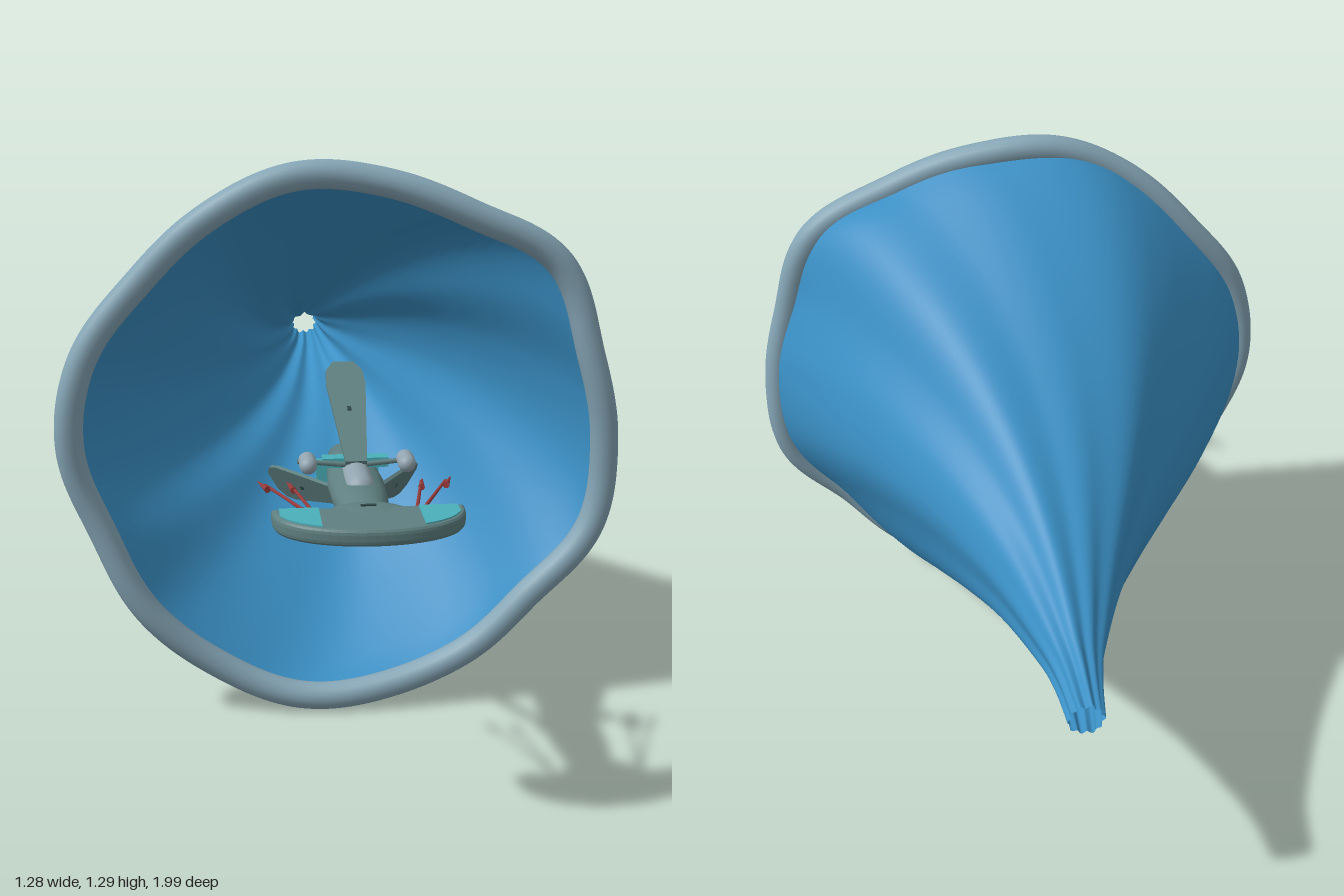
import * as THREE from 'three';
import { ParametricGeometry } from 'three/addons/geometries/ParametricGeometry.js';

const AXIS = 0.65; // height of the funnel axis
const mat = (name, color, side = THREE.FrontSide) => {
  const m = new THREE.MeshStandardMaterial({ color, side });
  m.name = name;
  return m;
};

// wavy outer radius of the rim, every 20 degrees counter-clockwise from +x
const WAVE = [.634, .628, .665, .625, .628, .644, .627, .615, .64, .638, .607, .62, .632, .65, .635, .625, .606, .648];
const rimRadius = (angle) => {
  const n = WAVE.length;
  let f = (angle / (Math.PI * 2)) * n;
  f -= Math.floor(f / n) * n;
  const i = Math.floor(f), t = f - i;
  const [a, b, c, d] = [-1, 0, 1, 2].map((k) => WAVE[(i + k + n) % n]);
  return b + 0.5 * t * (c - a + t * (2 * a - 5 * b + 4 * c - d + t * (3 * (b - c) + d - a)));
};

// funnel radius against z, mouth to tip
const PROFILE = new THREE.SplineCurve([
  [.3, .603], [.2, .562], [0, .457], [-.2, .343], [-.4, .235], [-.6, .14], [-.8, .07], [-.9, .046], [-1, .034],
].map(([z, r]) => new THREE.Vector2(z, r)));

export function createModel() {
  const model = new THREE.Group();
  const blue = mat('funnelBlue', 0x3a8fc4, THREE.DoubleSide);
  const rimGrey = mat('rimGreyBlue', 0x86a6b6);
  const hull = mat('hullGreyGreen', 0x5f7f80);
  const teal = mat('panelTeal', 0x4bb0bb);
  const pale = mat('podPaleGrey', 0x93a5b0);
  const red = mat('antennaRed', 0x9a3b3b);
  const dark = mat('detailDark', 0x2f4548);

  const add = (name, geo, material, parent = model, pos = [0, 0, 0]) => {
    const m = new THREE.Mesh(geo, material);
    m.name = name;
    m.position.set(...pos);
    parent.add(m);
    return m;
  };
  // thin rod between two points
  const rod = (name, a, b, r0, r1, material) => {
    const A = new THREE.Vector3(...a), B = new THREE.Vector3(...b);
    const m = add(name, new THREE.CylinderGeometry(r1, r0, A.distanceTo(B), 8), material);
    m.position.copy(A).add(B).multiplyScalar(0.5);
    m.quaternion.setFromUnitVectors(new THREE.Vector3(0, 1, 0), B.sub(A).normalize());
    return m;
  };
  const poly = (pts) => new THREE.Shape(pts.map(([x, y]) => new THREE.Vector2(x, y)));

  // twisted, rippled funnel
  add('funnel', new ParametricGeometry((u, v, out) => {
    const a = u * Math.PI * 2, p = PROFILE.getPoint(v), b = a - 1.2 * v;
    const wave = 1 + (rimRadius(b) / 0.632 - 1) * (1 + v * 0.5);
    const r = p.y * (wave + (0.004 + 0.09 * v ** 3) * Math.cos(10 * b));
    out.set(Math.cos(a) * r, AXIS + Math.sin(a) * r, p.x);
  }, 180, 64), blue);

  // thick wavy lip
  const lip = [];
  for (let i = 0; i < 72; i++) {
    const a = (i / 72) * Math.PI * 2, r = rimRadius(a) - 0.032;
    lip.push(new THREE.Vector3(Math.cos(a) * r, AXIS + Math.sin(a) * r, 0.302 + 0.006 * Math.sin(7 * a)));
  }
  add('rim', new THREE.TubeGeometry(new THREE.CatmullRomCurve3(lip, true), 240, 0.032, 16, true), rimGrey);

  // ship body: tapered fuselage and nose
  const fuselage = new THREE.LatheGeometry([
    [0, .40], [.04, .41], [.05, .5], [.058, .62], [.055, .72], [.045, .8], [.02, .85], [0, .86],
  ].map(([r, y]) => new THREE.Vector2(r, y)), 24);
  fuselage.rotateX(Math.PI / 2);
  fuselage.scale(1, 0.68, 1);
  add('fuselage', fuselage, hull, model, [0, 0.662, 0]);
  const canopy = new THREE.CapsuleGeometry(0.03, 0.09, 6, 16);
  canopy.rotateX(Math.PI / 2);
  add('canopy', canopy, pale, model, [0, 0.684, 0.66]);
  const neck = new THREE.SphereGeometry(1, 24, 12);
  neck.scale(0.09, 0.022, 0.065);
  add('neck', neck, hull, model, [0, 0.68, 0.865]);
  add('enginePlate', new THREE.BoxGeometry(0.136, 0.075, 0.02), teal, model, [0, 0.62, 0.43]);
  add('podBridge', new THREE.BoxGeometry(0.136, 0.02, 0.03), teal, model, [0, 0.708, 0.6]);

  // crescent head wing, straight at the back and rounded in front
  const edge = (x) => 0.862 + 0.118 * Math.pow(Math.max(0, 1 - (x / 0.176) ** 2), 0.42);
  const wingPts = [];
  for (let i = 0; i <= 32; i++) {
    const x = -0.176 * Math.cos((i / 32) * Math.PI);
    wingPts.push([x, edge(x)]);
  }
  const wing = new THREE.ExtrudeGeometry(poly(wingPts), {
    depth: 0.012, bevelThickness: 0.011, bevelSize: 0.008, bevelSegments: 3,
  });
  wing.rotateX(Math.PI / 2);
  add('headWing', wing, hull, model, [0, 0.688, 0]);
  for (const s of [-1, 1]) {
    const pts = [[s * .095, .862], [s * .17, .862]];
    for (let i = 0; i <= 6; i++) {
      const x = 0.17 - i * 0.0125;
      pts.push([s * x, edge(x)]);
    }
    const panel = new THREE.ExtrudeGeometry(poly(pts), { depth: 0.003, bevelEnabled: false });
    panel.rotateX(Math.PI / 2);
    add('wingPanelTop', panel, teal, model, [0, 0.7015, 0]);
  }
  add('headHatch', new THREE.BoxGeometry(0.03, 0.004, 0.008), dark, model, [0, 0.702, 0.86]);

  // three tail fins spread around the body
  const finShape = poly([[-.022, 0], [.022, 0], [.043, .26], [.04, .305], [.022, .336], [-.022, .336], [-.04, .305], [-.043, .26]]);
  const stripShape = poly([[-.015, .02], [.015, .02], [.033, .26], [.03, .3], [-.03, .3], [-.033, .26]]);
  for (let i = 0; i < 3; i++) {
    const arm = new THREE.Group();
    arm.name = 'tailFin';
    arm.position.set(0, 0.668, 0.63);
    arm.rotation.z = (i * Math.PI * 2) / 3;
    const tilt = new THREE.Group();
    tilt.position.y = 0.045;
    tilt.rotation.x = -1.165;
    arm.add(tilt);
    add('finBlade', new THREE.ExtrudeGeometry(finShape, { depth: 0.008, bevelEnabled: false }), hull, tilt, [0, 0, -0.004]);
    add('finInnerPanel', new THREE.ExtrudeGeometry(stripShape, { depth: 0.003, bevelEnabled: false }), teal, tilt, [0, 0, -0.006]);
    add('finRivet', new THREE.BoxGeometry(0.008, 0.012, 0.004), dark, tilt, [0, 0.17, 0.005]);
    model.add(arm);
  }

  for (const s of [-1, 1]) {
    // side pods on a cross strut
    const pod = new THREE.CapsuleGeometry(0.018, 0.035, 6, 16);
    pod.rotateX(Math.PI / 2);
    add('sidePod', pod, pale, model, [s * 0.1, 0.718, 0.64]);
    rod('podStrut', [0, 0.705, 0.62], [s * 0.12, 0.716, 0.62], 0.006, 0.005, hull);
    // swept antennas with barbed ends
    rod('outerAntenna', [s * 0.09, 0.672, 0.86], [s * 0.185, 0.667, 0.62], 0.004, 0.003, red);
    rod('outerBarb', [s * 0.182, 0.667, 0.65], [s * 0.2, 0.665, 0.59], 0.007, 0.001, red);
    rod('innerAntenna', [s * 0.09, 0.672, 0.86], [s * 0.135, 0.667, 0.62], 0.004, 0.003, red);
    rod('innerBarb', [s * 0.13, 0.667, 0.66], [s * 0.14, 0.665, 0.6], 0.007, 0.001, red);
  }
  return model;
}
